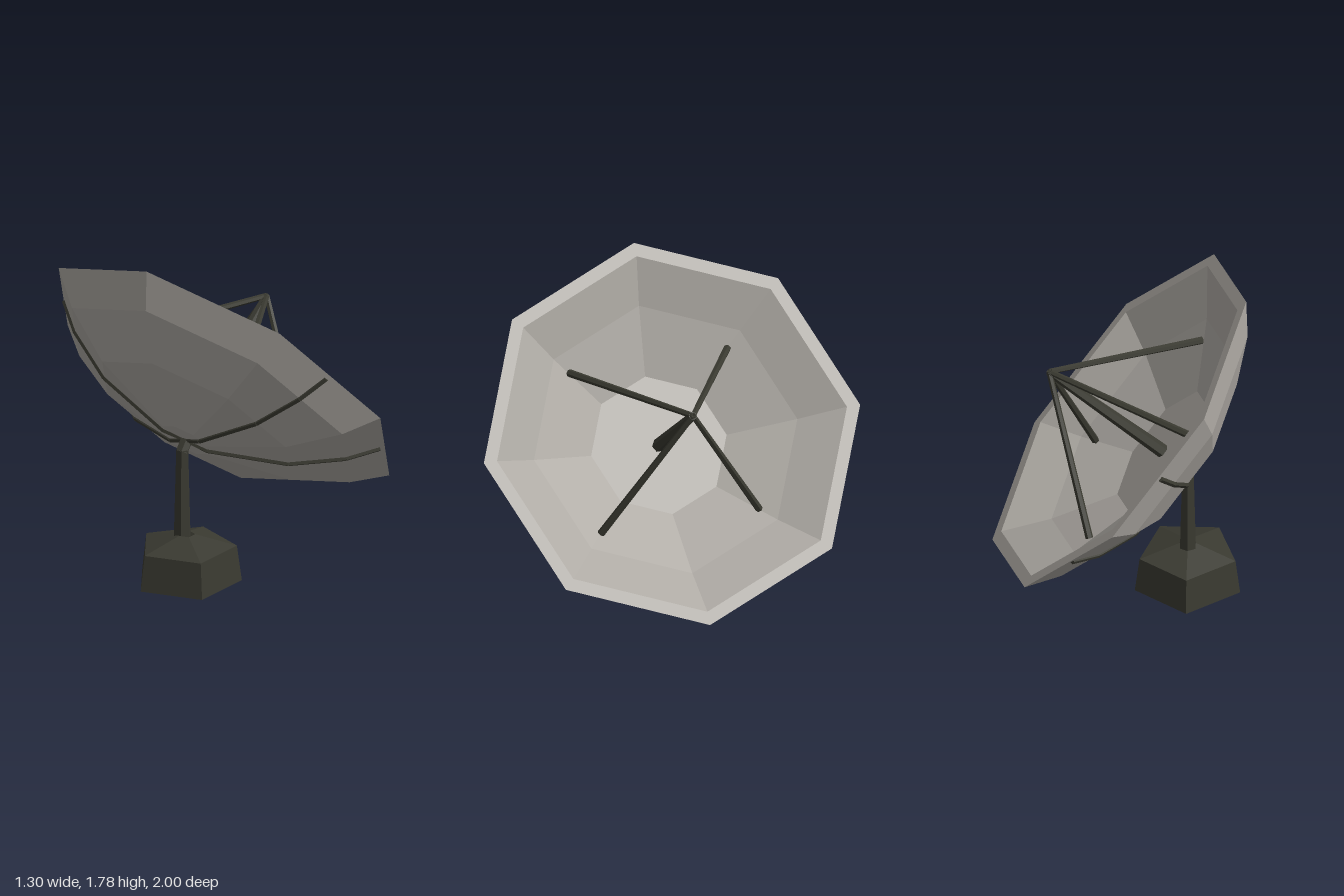
import * as THREE from 'three';

// Faceted normals for the low-poly look
function flat(geometry) {
  const g = geometry.index ? geometry.toNonIndexed() : geometry;
  g.computeVertexNormals();
  return g;
}

function part(name, geometry, material) {
  const mesh = new THREE.Mesh(flat(geometry), material);
  mesh.name = name;
  return mesh;
}

// Straight tapered rod between two points
function rod(name, a, b, ra, rb, material, sides = 6) {
  const dir = b.clone().sub(a);
  const mesh = part(name, new THREE.CylinderGeometry(rb, ra, dir.length(), sides), material);
  mesh.position.copy(a).add(b).multiplyScalar(0.5);
  mesh.quaternion.setFromUnitVectors(new THREE.Vector3(0, 1, 0), dir.normalize());
  return mesh;
}

export function createModel() {
  const V = (x, y, z = 0) => new THREE.Vector3(x, y, z);
  const dishGrey = new THREE.MeshStandardMaterial({ color: 0xaeaaa4 });
  dishGrey.name = 'dishGrey';
  const darkMetal = new THREE.MeshStandardMaterial({ color: 0x3a3a31, side: THREE.DoubleSide });
  darkMetal.name = 'darkMetal';

  const model = new THREE.Group();
  model.name = 'satelliteDish';

  // Five-sided base, open underneath, apex towards the back
  const base = new THREE.Group();
  base.name = 'base';
  base.position.set(-0.348, 0, 0.027);
  base.rotation.y = Math.PI;
  const plinth = part('plinth', new THREE.CylinderGeometry(0.256, 0.281, 0.19, 5, 1, true), darkMetal);
  plinth.position.y = 0.095;
  const cap = part('plinthCap', new THREE.CylinderGeometry(0.045, 0.256, 0.06, 5, 1, true), darkMetal);
  cap.position.y = 0.22;
  base.add(plinth, cap);
  model.add(base);

  // Mast with a bent neck
  model.add(rod('mast', V(-0.348, 0.22), V(-0.348, 0.71), 0.046, 0.033, darkMetal));
  model.add(rod('mastNeck', V(-0.352, 0.695), V(-0.295, 0.77), 0.033, 0.033, darkMetal));

  // Tilted dish assembly: local y is the dish axis
  const dish = new THREE.Group();
  dish.name = 'dishAssembly';
  dish.position.set(0, 1.02, 0);
  dish.rotation.z = -0.871;
  model.add(dish);

  // Octagonal bowl: outer shell, flat lip, inner shell
  const outer = [[0.135, -0.42], [0.57, -0.3], [0.84, -0.144], [1, 0]];
  const profile = [[0, -0.42], ...outer, [0.93, 0], [0.7, -0.14], [0.36, -0.29], [0, -0.29]];
  const bowl = new THREE.LatheGeometry(profile.map(([r, y]) => new THREE.Vector2(r, y)), 8);
  dish.add(part('bowl', bowl, dishGrey));

  // Ribs along the middle of four outer facets
  const ribPath = [[0, -0.415], ...outer.slice(0, 3), [0.98, -0.018]];
  for (const sx of [-1, 1]) for (const sz of [-1, 1]) {
    const angle = Math.PI * 0.375;
    const inset = Math.cos(Math.PI / 8);
    const points = ribPath.map(([r, y]) =>
      V(sx * r * inset * Math.cos(angle), y, sz * r * inset * Math.sin(angle)));
    for (let i = 1; i < points.length; i++) {
      dish.add(rod('rib', points[i - 1], points[i], 0.015, 0.015, darkMetal, 5));
    }
  }

  // Feed horn and its four struts
  const hub = V(0, 0.465);
  dish.add(rod('feedHorn', V(0, -0.29), hub, 0.036, 0.022, darkMetal));
  for (const sx of [-1, 1]) for (const sz of [-1, 1]) {
    dish.add(rod('strut', V(sx * 0.42, -0.175, sz * 0.42), hub, 0.02, 0.015, darkMetal));
  }
  return model;
}
